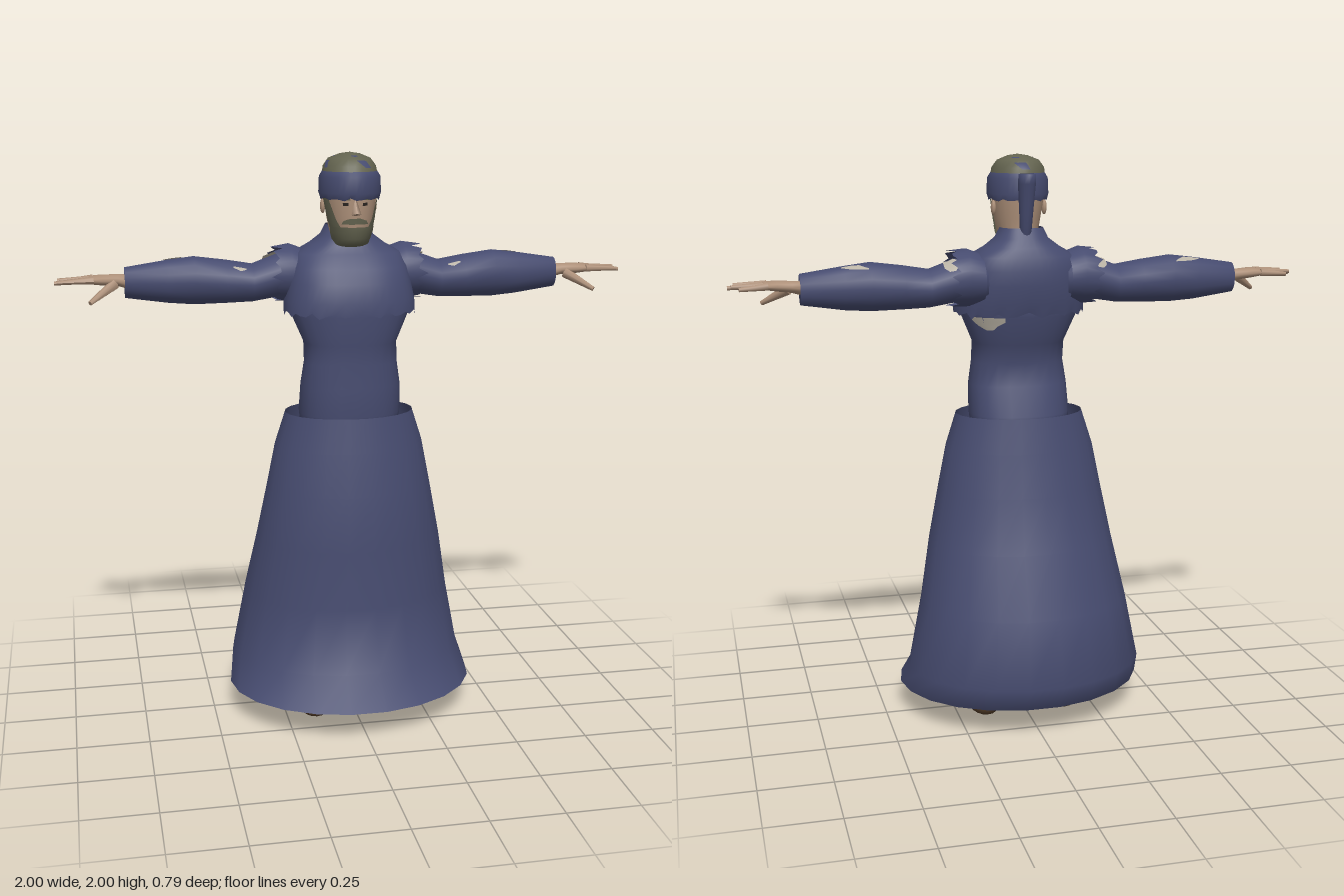
import * as THREE from 'three';

const mat = (name, color, side = THREE.FrontSide) => {
  const m = new THREE.MeshStandardMaterial({ color, side });
  m.name = name;
  return m;
};
const cloth = mat('navy cloth', 0x464b6f, THREE.DoubleSide);
const skin = mat('skin', 0xae917a);
const hair = mat('grey hair', 0x63634f, THREE.DoubleSide);
const leather = mat('brown leather', 0x523c28);
const bare = mat('pale tear', 0xb9b2a4, THREE.DoubleSide);
const dark = mat('dark eye', 0x2a2420, THREE.DoubleSide);

// Ring: [t, uHi, uLo, vHi, vLo]; t runs along the axis, v is always z.
const sym = (rows) => rows.map(([y, w, f, b]) => [y, w, -w, f, b]);

// Skin through elliptical rings; jag maps a ring index to a ragged-edge height,
// arcs gives each ring its own start and end angle.
function loft(rings, { axis = 'y', n = 20, power = 1, jag = {}, arcs = null, caps = false } = {}) {
  let rows = rings;
  if (caps) {
    const tip = ([t, a, b, c, d]) => [t, (a + b) / 2, (a + b) / 2, (c + d) / 2, (c + d) / 2];
    rows = [tip(rings[0]), ...rings, tip(rings[rings.length - 1])];
  }
  const cols = arcs ? n + 1 : n;
  const soft = (k) => Math.sign(k) * Math.abs(k) ** power;
  const pos = [], index = [];
  rows.forEach(([t, uh, ul, vh, vl], i) => {
    const [a0, a1] = arcs ? arcs[i] : [0, Math.PI * 2];
    for (let j = 0; j < cols; j++) {
      const a = a0 + ((a1 - a0) * j) / n;
      const u = (uh + ul) / 2 + ((uh - ul) / 2) * soft(Math.cos(a));
      const v = (vh + vl) / 2 + ((vh - vl) / 2) * soft(Math.sin(a));
      const s = t + (jag[i] || 0) * Math.sin(j * 2.3) * (1 + 0.5 * Math.sin(j * 0.9));
      pos.push(...(axis === 'y' ? [u, s, v] : [s, u, v]));
    }
  });
  for (let i = 0; i < rows.length - 1; i++) {
    for (let j = 0; j < n; j++) {
      const a = i * cols + j, b = i * cols + ((j + 1) % cols), c = a + cols, d = b + cols;
      if (axis === 'y') index.push(a, c, b, b, c, d);
      else index.push(a, b, c, b, d, c);
    }
  }
  const g = new THREE.BufferGeometry();
  g.setAttribute('position', new THREE.Float32BufferAttribute(pos, 3));
  g.setIndex(index);
  g.computeVertexNormals();
  return g;
}

// Thin plate lying just over a lofted surface; rows are [t, startAngle, endAngle].
function patch(rings, rows, axis = 'y', pad = 0.005) {
  const at = (t) => {
    const i = Math.max(0, Math.min(rings.length - 2, rings.findIndex((r) => r[0] > t) - 1));
    const k = (t - rings[i][0]) / (rings[i + 1][0] - rings[i][0]);
    const r = rings[i].map((q, m) => q + (rings[i + 1][m] - q) * k);
    return [t, r[1] + pad, r[2] - pad, r[3] + pad, r[4] - pad];
  };
  return loft(rows.map((r) => at(r[0])), { axis, n: 10, arcs: rows.map((r) => [r[1], r[2]]) });
}

// Mirror a geometry across x, keeping faces outward.
function mirror(geo) {
  const g = geo.clone().scale(-1, 1, 1);
  const ix = g.index.array;
  for (let i = 0; i < ix.length; i += 3) [ix[i], ix[i + 1]] = [ix[i + 1], ix[i]];
  g.computeVertexNormals();
  return g;
}

// Tapered finger between two points.
function finger(a, b, r0, r1) {
  const p = new THREE.Vector3(...a), q = new THREE.Vector3(...b), d = q.clone().sub(p);
  const g = new THREE.CylinderGeometry(r1, r0, d.length(), 7);
  g.applyQuaternion(new THREE.Quaternion().setFromUnitVectors(new THREE.Vector3(0, 1, 0), d.normalize()));
  return g.translate(...p.add(q).multiplyScalar(0.5).toArray());
}

const headRings = sym([
  [1.60, 0.06, 0.04, -0.08], [1.675, 0.056, 0.06, -0.07], [1.69, 0.058, 0.115, -0.06],
  [1.73, 0.07, 0.13, -0.06], [1.78, 0.08, 0.135, -0.06], [1.85, 0.09, 0.14, -0.075],
  [1.92, 0.092, 0.14, -0.075],
]);
const hairRings = sym([
  [1.91, 0.096, 0.145, -0.08], [1.95, 0.09, 0.127, -0.072], [1.975, 0.072, 0.105, -0.055],
  [1.99, 0.035, 0.07, -0.01], [1.995, 0.002, 0.035, 0.03],
]);
const torsoRings = sym([
  [1.04, 0.17, 0.15, -0.12], [1.1, 0.178, 0.16, -0.12], [1.2, 0.175, 0.16, -0.08],
  [1.28, 0.163, 0.155, -0.066], [1.35, 0.162, 0.16, -0.095], [1.45, 0.205, 0.172, -0.125],
  [1.52, 0.205, 0.165, -0.13],
]);
const armRings = [
  [0.14, 1.65, 1.49, 0.05, -0.14], [0.24, 1.65, 1.5, 0.05, -0.135], [0.33, 1.617, 1.485, 0.04, -0.125],
  [0.42, 1.632, 1.482, 0.04, -0.13], [0.53, 1.646, 1.48, 0.03, -0.125],
  [0.62, 1.635, 1.487, 0.01, -0.115], [0.765, 1.613, 1.508, -0.012, -0.092],
];

export function createModel() {
  const model = new THREE.Group();
  const add = (name, geo, m) => {
    const mesh = new THREE.Mesh(geo, m);
    mesh.name = name;
    model.add(mesh);
  };
  const pair = (name, geo, m) => {
    add(name + 'Left', geo, m);
    add(name + 'Right', mirror(geo), m);
  };
  const F = Math.PI / 2;

  // Long open skirt with a forward-flared hem
  add('skirt', loft(sym([
    [0.105, 0.44, 0.4, -0.34], [0.2, 0.42, 0.285, -0.4], [0.43, 0.375, 0.25, -0.35],
    [0.64, 0.335, 0.25, -0.26], [0.83, 0.297, 0.228, -0.21], [0.98, 0.267, 0.2, -0.175],
    [1.1, 0.228, 0.18, -0.15],
  ]), { n: 22 }), cloth);

  // Tunic and ragged upper bodice with collar
  add('tunic', loft(torsoRings, { n: 24, power: 0.85, caps: true }), cloth);
  add('bodice', loft(sym([
    [1.457, 0.228, 0.185, -0.135], [1.5, 0.226, 0.185, -0.147], [1.56, 0.215, 0.17, -0.156],
    [1.61, 0.205, 0.145, -0.155], [1.655, 0.185, 0.1, -0.145], [1.685, 0.13, 0.08, -0.13],
    [1.715, 0.09, 0.07, -0.112], [1.75, 0.073, 0.045, -0.09],
  ]), { n: 48, power: 0.8, jag: { 0: 0.009 } }), cloth);
  add('backTear', patch(torsoRings, [[1.405, 5.35, 5.5], [1.42, 5.25, 5.65], [1.435, 5.1, 5.75], [1.45, 5.1, 5.8]], 'y', 0.009), bare);

  // Sleeves, torn shoulder caps and tears
  pair('sleeve', loft(armRings, { axis: 'x', n: 16, caps: true }), cloth);
  pair('shoulderCap', loft([
    [0.15, 1.665, 1.49, 0.06, -0.15], [0.2, 1.683, 1.485, 0.068, -0.153], [0.25, 1.676, 1.487, 0.066, -0.148],
  ], { axis: 'x', n: 36, jag: { 2: 0.016 } }), cloth);
  pair('shoulderTear', patch(armRings, [[0.235, -0.75, -0.5], [0.25, -1.0, -0.25], [0.27, -0.95, -0.3], [0.285, -0.7, -0.2]], 'x', 0.008), bare);
  pair('forearmTear', patch(armRings, [[0.54, -0.75, -0.68], [0.57, -0.7, -0.4], [0.6, -0.62, -0.35], [0.63, -0.45, -0.38]], 'x'), bare);
  pair('frontTear', patch(armRings, [[0.355, 0.75, 0.82], [0.375, 0.72, 0.92], [0.4, 0.7, 0.78]], 'x'), bare);

  // Hands with four fingers and a lowered thumb
  pair('palm', loft([
    [0.74, 1.59, 1.535, -0.025, -0.08], [0.79, 1.59, 1.55, -0.018, -0.085],
    [0.84, 1.592, 1.555, 0.006, -0.085], [0.885, 1.588, 1.562, 0.014, -0.082],
  ], { axis: 'x', n: 12, caps: true }), skin);
  [[-0.072, -0.078, 0.965], [-0.046, -0.048, 0.99], [-0.021, -0.018, 1], [0.003, 0.012, 0.98]].forEach(([z0, z1, x], i) =>
    pair('finger' + (i + 1), finger([0.87, 1.576, z0], [x, 1.568 + 0.006 * (i % 2), z1], 0.013, 0.007), skin));
  pair('thumb', finger([0.8, 1.56, -0.02], [0.885, 1.507, 0.047], 0.019, 0.008), skin);

  // Legs and shoes
  pair('leg', loft([
    [0.06, 0.185, 0.115, -0.01, -0.085], [0.2, 0.185, 0.115, -0.01, -0.085], [0.38, 0.19, 0.09, 0.01, -0.1],
    [0.55, 0.18, 0.08, 0.03, -0.07], [0.85, 0.18, 0.025, 0.07, -0.09], [1.06, 0.165, 0.005, 0.09, -0.1],
  ], { n: 14 }), skin);
  pair('shoe', loft([
    [0, 0.198, 0.092, 0.165, -0.108], [0.02, 0.203, 0.086, 0.176, -0.112], [0.045, 0.198, 0.092, 0.155, -0.112],
    [0.075, 0.193, 0.102, 0.09, -0.11], [0.1, 0.19, 0.108, 0.03, -0.108], [0.135, 0.189, 0.109, 0.002, -0.096],
  ], { n: 20, power: 0.85, jag: { 5: 0.006 }, caps: true }), leather);

  // Head and face
  add('head', loft(headRings, { n: 24, caps: true }), skin);
  add('nose', new THREE.ConeGeometry(0.017, 0.06, 4).rotateX(-0.3).translate(0, 1.822, 0.143), skin);
  pair('ear', new THREE.SphereGeometry(0.02, 10, 8).scale(0.45, 1.3, 0.8).translate(0.09, 1.815, 0.012), skin);
  pair('eye', patch(headRings, [[1.822, 1.08, 1.3], [1.832, 1.08, 1.3]], 'y', 0.003), dark);
  pair('eyebrow', patch(headRings, [[1.841, 0.98, 1.36], [1.85, 0.95, 1.36]], 'y', 0.004), hair);
  add('beard', patch(headRings, [
    [1.68, F - 1.0, F + 1.0], [1.69, F - 1.25, F + 1.25], [1.71, F - 1.3, F + 1.3],
    [1.73, F - 1.3, F + 1.3], [1.75, F - 1.2, F + 1.2],
  ], 'y', 0.007), hair);
  pair('sideburn', patch(headRings, [[1.745, 0.3, 0.95], [1.775, 0.2, 0.75], [1.85, 0.05, 0.45]]), hair);
  add('moustache', patch(headRings, [[1.76, F - 0.6, F + 0.6], [1.772, F - 0.5, F + 0.5], [1.78, F - 0.2, F + 0.2]]), hair);

  // Hair, headscarf band and hanging tail
  add('hair', loft(hairRings, { n: 24 }), hair);
  [[0.9, 0.5], [2.7, 0.4], [4.5, 0.6]].forEach(([a, w], i) =>
    add('scarfStreak' + (i + 1), patch(hairRings, [[1.945, a, a + w * 0.5], [1.965, a + 0.1, a + w], [1.985, a + 0.4, a + w + 0.3]], 'y', 0.003), cloth));
  add('headband', loft(sym([
    [1.842, 0.1, 0.146, -0.086], [1.862, 0.106, 0.155, -0.092], [1.915, 0.104, 0.155, -0.088],
    [1.933, 0.093, 0.138, -0.076],
  ]), { n: 32, jag: { 0: 0.004 } }), cloth);
  add('scarfTail', loft(sym([
    [1.70, 0.018, -0.062, -0.1], [1.8, 0.024, -0.064, -0.117], [1.9, 0.031, -0.066, -0.135], [1.932, 0.03, -0.072, -0.141],
  ]), { n: 12, caps: true }), cloth);

  return model;
}
